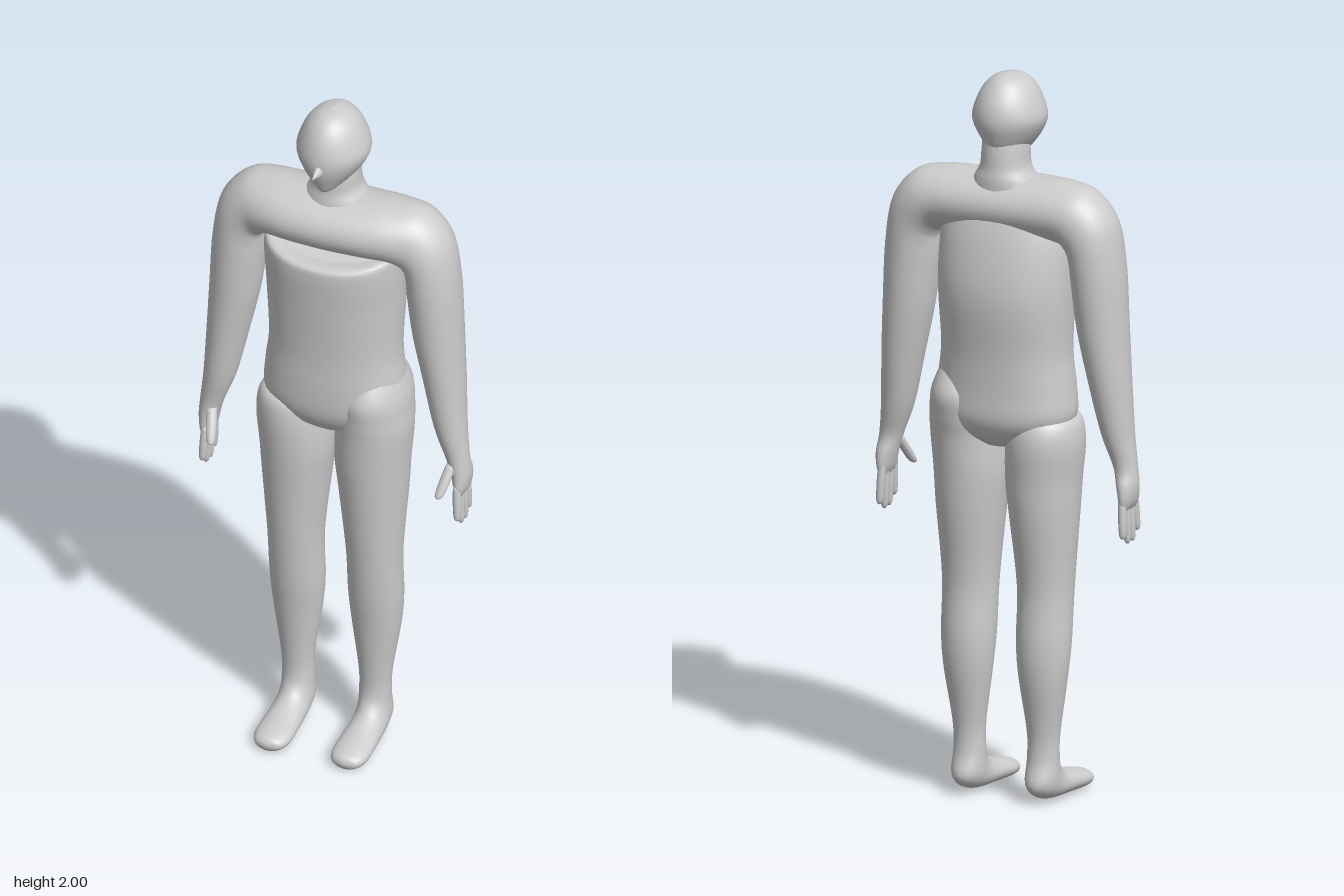
import * as THREE from 'three';

const skin = new THREE.MeshStandardMaterial({ color: 0xcccccc });
skin.name = 'plainGrey';

// Catmull-Rom through one number
function spline(a, b, c, d, t) {
  return 0.5 * (2 * b + (c - a) * t + (2 * a - 5 * b + 4 * c - d) * t * t + (3 * b - a - 3 * c + d) * t * t * t);
}

// Smooth closed skin over rings; a ring is [centre xyz, half axis u xyz, half axis v xyz]
function loft(name, rings, { sides = 36, steps = 5, power = 2 } = {}) {
  const pos = [], index = [], rows = [];
  const last = rings.length - 1;
  const ringAt = (i) => rings[Math.min(last, Math.max(0, i))];
  for (let i = 0; i < last; i++) {
    for (let s = 0; s < steps; s++) {
      rows.push(rings[i].map((_, k) =>
        spline(ringAt(i - 1)[k], ringAt(i)[k], ringAt(i + 1)[k], ringAt(i + 2)[k], s / steps)));
    }
  }
  rows.push(rings[last]);
  const bend = (v) => Math.sign(v) * Math.abs(v) ** (2 / power);
  for (const r of rows) {
    for (let j = 0; j < sides; j++) {
      const a = (j / sides) * Math.PI * 2, c = bend(Math.cos(a)), s = bend(Math.sin(a));
      for (let k = 0; k < 3; k++) pos.push(r[k] + c * r[3 + k] + s * r[6 + k]);
    }
  }
  for (let i = 0; i < rows.length - 1; i++) {
    for (let j = 0; j < sides; j++) {
      const a = i * sides + j, b = i * sides + (j + 1) % sides;
      index.push(a, b, a + sides, b, b + sides, a + sides);
    }
  }
  // end caps
  const first = pos.length / 3, end = (rows.length - 1) * sides;
  pos.push(...rows[0].slice(0, 3), ...rings[last].slice(0, 3));
  for (let j = 0; j < sides; j++) {
    const n = (j + 1) % sides;
    index.push(first, n, j, first + 1, end + j, end + n);
  }
  // turn faces outward where the volume comes out negative
  let volume = 0;
  const p = (i) => new THREE.Vector3().fromArray(pos, i * 3);
  for (let i = 0; i < index.length; i += 3) {
    volume += p(index[i]).dot(p(index[i + 1]).cross(p(index[i + 2])));
  }
  if (volume < 0) index.reverse();
  const g = new THREE.BufferGeometry();
  g.setAttribute('position', new THREE.Float32BufferAttribute(pos, 3));
  g.setIndex(index);
  g.computeVertexNormals();
  const mesh = new THREE.Mesh(g, skin);
  mesh.name = name;
  return mesh;
}

// Ring from its front point, back point, centre x and half width
const body = ([fy, fz, by, bz, hw, cx = 0]) =>
  [cx, (fy + by) / 2, (fz + bz) / 2, hw, 0, 0, 0, (fy - by) / 2, (fz - bz) / 2];
// Level ring
const level = ([y, fz, bz, hw, cx]) => body([y, fz, y, bz, hw, cx]);
// Arm ring from its outer point, inner point and depth range
const arm = ([ox, oy, ix, iy, fz, bz]) =>
  [(ox + ix) / 2, (oy + iy) / 2, (fz + bz) / 2, (ox - ix) / 2, (oy - iy) / 2, 0, 0, 0, (fz - bz) / 2];
const mirrorRing = (r) => r.map((v, k) => (k % 3 === 0 ? -v : v));

// Tapered round finger between two points
function finger(name, from, to, radius) {
  const ring = (t, s) => [...from.map((v, k) => v + (to[k] - v) * t),
    radius * s, 0, 0, 0, 0, radius * s];
  return loft(name, [ring(0, 0.9), ring(0.4, 1), ring(0.85, 0.85), ring(0.97, 0.5), ring(1, 0.05)],
    { sides: 12, steps: 3 });
}

export function createModel() {
  const model = new THREE.Group();
  model.name = 'standingFigure';

  // Head, with a ridge along both sides
  model.add(loft('head', [
    [2.0, -0.015, -0.025, 0.003], [1.99, 0.03, -0.07, 0.038], [1.965, 0.062, -0.1, 0.067],
    [1.925, 0.084, -0.124, 0.088], [1.88, 0.094, -0.132, 0.1], [1.84, 0.09, -0.122, 0.085],
    [1.8, 0.075, -0.1, 0.055], [1.775, 0.062, -0.05, 0.028], [1.766, 0.045, 0.0, 0.006],
  ].map(level), { power: 1.9 }));

  // Pointed nose
  const nose = new THREE.Mesh(new THREE.ConeGeometry(0.028, 0.065, 20, 4), skin);
  nose.name = 'nose';
  nose.rotation.x = Math.PI / 2;
  nose.scale.x = 0.75;
  nose.position.set(0, 1.857, 0.1);
  model.add(nose);

  // Neck
  model.add(loft('neck', [
    [1.84, 0.02, -0.105, 0.06], [1.79, 0.03, -0.112, 0.064], [1.75, 0.03, -0.115, 0.068],
    [1.72, 0.036, -0.12, 0.085], [1.69, 0.04, -0.12, 0.1],
  ].map(level)));

  // Torso
  model.add(loft('torso', [
    [1.556, 0.06, 1.64, -0.11, 0.165], [1.553, 0.106, 1.62, -0.135, 0.187],
    [1.52, 0.115, 1.52, -0.165, 0.193], [1.4, 0.106, 1.4, -0.18, 0.19],
    [1.25, 0.097, 1.25, -0.166, 0.184], [1.15, 0.097, 1.15, -0.163, 0.195],
    [1.07, 0.092, 1.07, -0.163, 0.197], [1.02, 0.07, 1.02, -0.14, 0.15],
    [0.985, 0.03, 0.985, -0.1, 0.06],
  ].map(body), { power: 2.15 }));

  // Shoulders and both arms as one continuous bar, ending in the palms
  const half = [
    [0, 1.725, 0, 1.56, 0.092, -0.145], [0.1, 1.725, 0.1, 1.56, 0.087, -0.144],
    [0.18, 1.724, 0.18, 1.555, 0.072, -0.142], [0.26, 1.708, 0.205, 1.53, 0.055, -0.14],
    [0.325, 1.635, 0.207, 1.5, 0.05, -0.135], [0.35, 1.51, 0.21, 1.45, 0.048, -0.13],
    [0.36, 1.35, 0.225, 1.33, 0.04, -0.12], [0.368, 1.2, 0.255, 1.19, 0.03, -0.104],
    [0.376, 1.05, 0.287, 1.05, 0.02, -0.08], [0.385, 0.96, 0.32, 0.96, 0.01, -0.063],
    [0.39, 0.91, 0.335, 0.91, 0.01, -0.074], [0.385, 0.87, 0.345, 0.87, 0.012, -0.076],
    [0.373, 0.845, 0.357, 0.845, 0.004, -0.068],
  ].map(arm);
  const far = half.slice(1).reverse().map((r) => {
    const m = mirrorRing(r);
    // keep ring points in step across the middle
    return [m[0], m[1], m[2], m[3], m[4], m[5], m[6], m[7], m[8]];
  });
  model.add(loft('shouldersAndArms', [...far, ...half]));

  // Fingers and thumbs
  for (const side of [1, -1]) {
    const hand = new THREE.Group();
    hand.name = side > 0 ? 'leftFingers' : 'rightFingers';
    [[0.002, 0.012, 0.775], [-0.02, -0.016, 0.752], [-0.042, -0.042, 0.75], [-0.063, -0.07, 0.768]]
      .forEach(([z0, z1, y], i) => {
        hand.add(finger('finger' + (i + 1), [side * 0.362, 0.88, z0], [side * 0.367, y, z1], 0.0115));
      });
    hand.add(finger('thumb', [side * 0.345, 0.945, -0.005], [side * 0.327, 0.86, 0.05], 0.015));
    model.add(hand);
  }

  // Legs and feet; the left hip runs higher into the torso
  const leg = [
    [1.0, 0.086, 1.0, -0.145, 0.104, 0.114], [0.9, 0.08, 0.9, -0.138, 0.102, 0.108],
    [0.8, 0.07, 0.8, -0.13, 0.094, 0.11], [0.6, 0.05, 0.6, -0.106, 0.077, 0.113],
    [0.45, 0.034, 0.45, -0.112, 0.075, 0.113], [0.35, 0.02, 0.35, -0.106, 0.067, 0.113],
    [0.2, 0.004, 0.2, -0.081, 0.046, 0.112], [0.13, 0.005, 0.12, -0.082, 0.044, 0.111],
    [0.098, 0.022, 0.05, -0.098, 0.046, 0.111], [0.082, 0.045, 0.014, -0.045, 0.047, 0.111],
    [0.067, 0.09, 0.006, 0.06, 0.051, 0.111], [0.055, 0.145, 0.003, 0.135, 0.051, 0.111],
    [0.045, 0.175, 0.006, 0.172, 0.036, 0.111], [0.03, 0.185, 0.02, 0.184, 0.008, 0.111],
  ];
  const rightTop = [[1.083, 0.03, 1.083, -0.09, 0.04, 0.125], [1.065, 0.075, 1.06, -0.13, 0.088, 0.117]];
  const leftTop = [[1.22, 0.03, 1.22, -0.1, 0.05, 0.12], [1.13, 0.088, 1.13, -0.16, 0.09, 0.115],
    [1.06, 0.09, 1.06, -0.157, 0.1, 0.115]];
  model.add(loft('leftLeg', [...leftTop, ...leg].map(body)));
  model.add(loft('rightLeg', [...rightTop, ...leg].map(body).map(mirrorRing)));

  return model;
}
